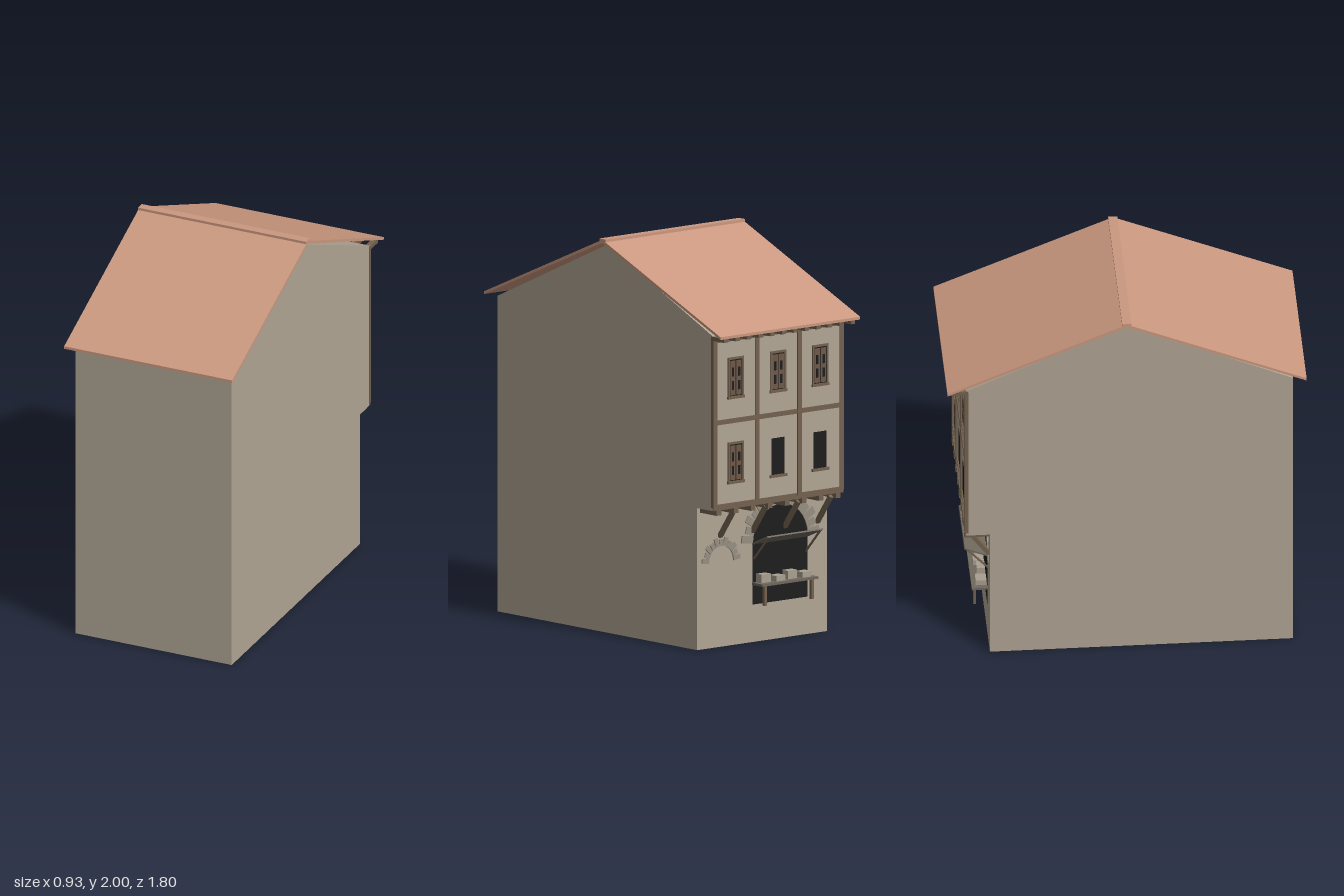
import * as THREE from 'three';

const mat = (name, color) => Object.assign(new THREE.MeshStandardMaterial({ color }), { name });

export function createModel() {
  const plaster = mat('plaster', 0xb0a594);
  const tile = mat('roof tile', 0xcb987f);
  const timber = mat('timber', 0x72614f);
  const shutterWood = mat('shutter wood', 0x6f5848);
  const board = mat('weathered board', 0x6e675c);
  const stone = mat('stone', 0x968d80);
  const crateWood = mat('crate wood', 0xa89f90);
  const dark = mat('dark opening', 0x1c1c1c);

  const house = new THREE.Group();
  house.name = 'townhouse';
  const HALF = 0.43, LOWER = -0.685, UPPER = -0.805, GROUND = 0.19;

  const add = (parent, name, geometry, material) => {
    const mesh = new THREE.Mesh(geometry, material);
    mesh.name = name;
    parent.add(mesh);
    return mesh;
  };
  const group = (name) => {
    const g = new THREE.Group();
    g.name = name;
    house.add(g);
    return g;
  };
  // axis-aligned box given by its limits
  const box = (parent, name, material, x0, x1, y0, y1, z0, z1) => {
    const m = add(parent, name, new THREE.BoxGeometry(x1 - x0, y1 - y0, Math.abs(z1 - z0)), material);
    m.position.set((x0 + x1) / 2, (y0 + y1) / 2, (z0 + z1) / 2);
    return m;
  };
  // side profile of [z, y] points, extruded across the width
  const profile = (parent, name, material, points, width) => {
    const shape = new THREE.Shape(points.map(([z, y]) => new THREE.Vector2(z, y)));
    const g = new THREE.ExtrudeGeometry(shape, { depth: width, bevelEnabled: false });
    g.rotateY(-Math.PI / 2).translate(width / 2, 0, 0);
    return add(parent, name, g, material);
  };
  // beam between two [y, z] points at a given x
  const beam = (parent, name, material, x, [y0, z0], [y1, z1], width, thick) => {
    const g = new THREE.BoxGeometry(width, thick, Math.hypot(y1 - y0, z1 - z0));
    const m = add(parent, name, g, material);
    m.position.set(x, (y0 + y1) / 2, (z0 + z1) / 2);
    m.rotation.x = Math.atan2(y0 - y1, z1 - z0);
    return m;
  };

  // walls with the jettied upper floors
  profile(house, 'walls', plaster, [
    [0.835, 0], [0.835, 1.6], [0, 1.968], [UPPER, 1.606], [UPPER, 0.72], [LOWER, 0.72], [LOWER, 0],
  ], HALF * 2);

  // roof
  const roof = group('roof');
  for (const s of [1, -1]) {
    profile(roof, 'roofSlope', tile,
      [[s * 0.9, 1.604], [s * 0.9, 1.618], [0, 1.996], [0, 1.98]], 0.926);
  }
  box(roof, 'ridgeCap', tile, -0.463, 0.463, 1.978, 2, -0.024, 0.022);
  for (let i = 0; i < 12; i++) {
    const x = -0.42 + i * 0.84 / 11;
    box(roof, 'rafterTail', timber, x - 0.014, x + 0.014, 1.585, 1.605, UPPER + 0.01, -0.895);
  }

  // timber frame on the upper floors
  const frame = group('timberFrame');
  for (let i = 0; i < 4; i++) {
    const x = -0.42 + i * 0.28;
    box(frame, 'post', timber, x - 0.0125, x + 0.0125, 0.735, 1.6, UPPER + 0.012, UPPER - 0.007);
  }
  for (const [y, h] of [[0.735, 0.03], [1.165, 0.024], [1.585, 0.03]]) {
    box(frame, 'rail', timber, -HALF, HALF, y - h / 2, y + h / 2, UPPER + 0.01, UPPER - 0.005);
  }

  // jetty joists and braces
  const jetty = group('jetty');
  for (let i = 0; i < 8; i++) {
    const x = -0.395 + i * 0.79 / 7;
    box(jetty, 'joist', timber, x - 0.016, x + 0.016, 0.695, 0.722, LOWER + 0.01, -0.812);
  }
  for (const x of [0.28, 0.065, -0.15, -0.365]) {
    beam(jetty, 'brace', timber, x, [0.56, -0.685], [0.705, -0.79], 0.022, 0.02);
  }

  // windows: three columns, two rows
  const makeWindow = (x, y, shuttered) => {
    const w = group('window');
    const hw = 0.042, h = 0.185, z = UPPER;
    box(w, 'opening', dark, x - hw, x + hw, y, y + h, z + 0.002, z - 0.0015);
    box(w, 'sill', timber, x - 0.056, x + 0.056, y - 0.014, y, z + 0.002, z - 0.009);
    if (!shuttered) return;
    for (const s of [-1, 1]) {
      box(w, 'jamb', timber, x + s * 0.046 - 0.006, x + s * 0.046 + 0.006, y, y + h, z + 0.002, z - 0.005);
      const c = x + s * 0.02;
      box(w, 'shutter', shutterWood, c - 0.017, c + 0.017, y + 0.004, y + h - 0.006, z, z - 0.003);
      for (const k of [0.25, 0.62]) {
        box(w, 'pane', dark, c - 0.008, c + 0.008, y + h * k - 0.016, y + h * k + 0.03, z, z - 0.0036);
      }
    }
    box(w, 'lintel', timber, x - 0.052, x + 0.052, y + h, y + h + 0.012, z + 0.002, z - 0.005);
  };
  for (const x of [0.28, 0, -0.28]) {
    makeWindow(x, 1.29, true);
    makeWindow(x, 0.86, x > 0.1);
  }

  // arched shop opening
  const shop = group('shopFront');
  const SX = -0.117, R = 0.182, SPRING = 0.5;
  const arch = new THREE.Shape();
  arch.moveTo(-R, GROUND);
  arch.lineTo(R, GROUND);
  arch.lineTo(R, SPRING);
  arch.absarc(0, SPRING, R, 0, Math.PI);
  const opening = add(shop, 'shopOpening', new THREE.ShapeGeometry(arch, 24).rotateY(Math.PI), dark);
  opening.position.set(SX, 0, LOWER - 0.002);

  // rings of uneven arch stones
  const stones = (name, cx, cy, inner, length, count) => {
    const ring = group(name);
    for (let i = 0; i < count; i++) {
      const a = Math.PI * (i + 0.5) / count;
      const len = length * (i % 2 ? 0.75 : 1);
      const r = inner + len / 2;
      const width = 0.88 * Math.PI * (inner + length * 0.3) / count;
      const m = add(ring, 'archStone', new THREE.BoxGeometry(len, width, 0.012), stone);
      m.position.set(cx + r * Math.cos(a), cy + r * Math.sin(a), LOWER - 0.001);
      m.rotation.z = a;
    }
  };
  stones('shopArch', SX, SPRING, R, 0.075, 15);
  stones('smallArch', 0.275, 0.43, 0.082, 0.045, 11);

  // raised shop flap on two struts
  beam(shop, 'flap', board, SX, [0.498, LOWER], [0.548, -0.803], 0.37, 0.008);
  for (const s of [-1, 1]) {
    beam(shop, 'flapStrut', timber, SX + s * 0.172, [0.42, LOWER], [0.545, -0.8], 0.008, 0.008);
  }

  // stall table with crates
  const stall = group('stall');
  box(stall, 'tableTop', board, SX - 0.185, SX + 0.185, 0.29, 0.302, LOWER, -0.766);
  for (const s of [-1, 1]) {
    const x = SX + s * 0.155;
    box(stall, 'tableLeg', timber, x - 0.008, x + 0.008, GROUND, 0.29, -0.743, -0.757);
  }
  for (let i = 0; i < 4; i++) {
    const x = SX - 0.13 + i * 0.087, tall = i % 2;
    box(stall, 'crate', crateWood, x - 0.03, x + 0.03, 0.302, tall ? 0.345 : 0.33,
      -0.69, tall ? -0.733 : -0.745);
  }

  return house;
}
